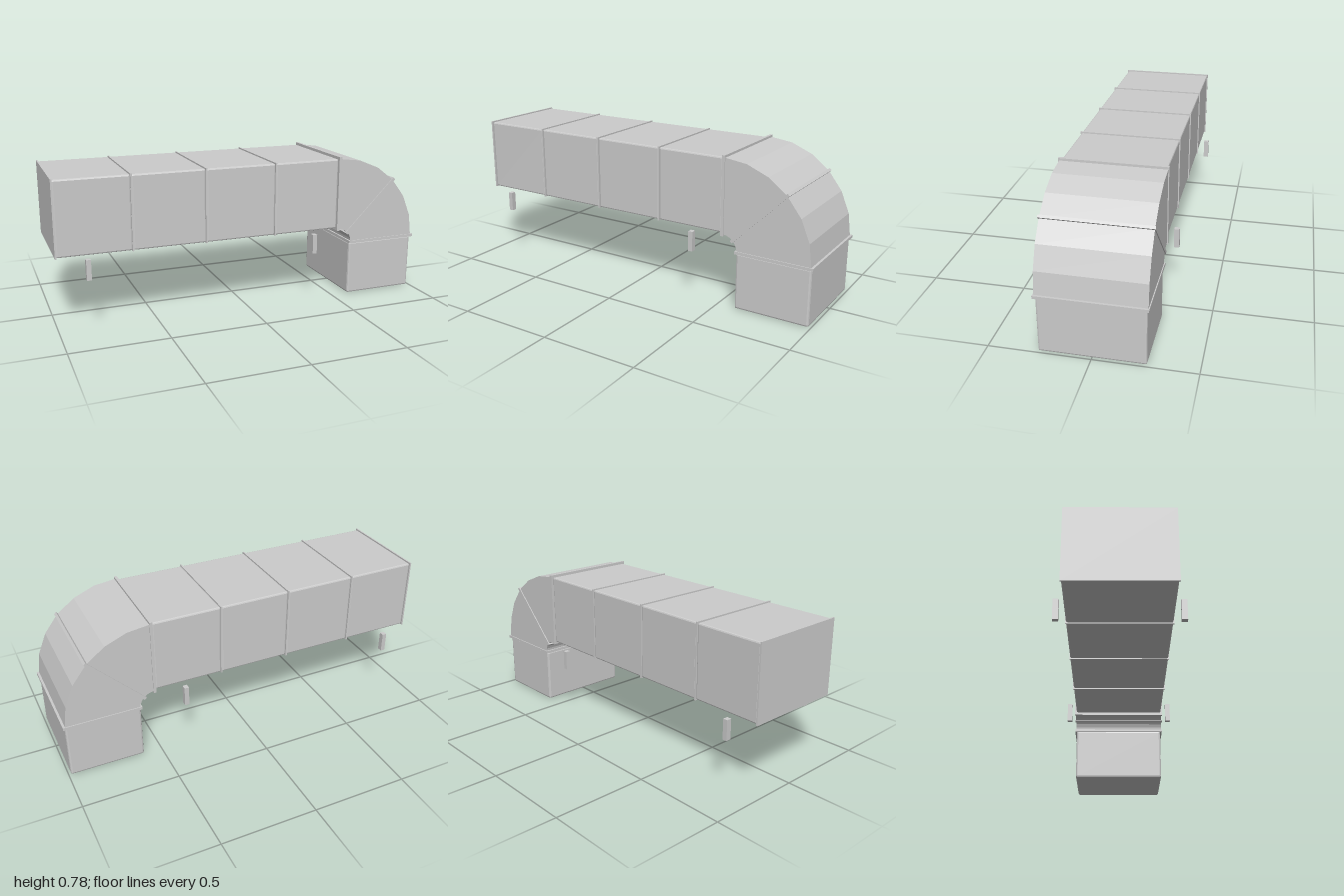
import * as THREE from 'three';
import { RoundedBoxGeometry } from 'three/addons/geometries/RoundedBoxGeometry.js';

export function createModel() {
  const model = new THREE.Group();
  const metal = new THREE.MeshStandardMaterial({ color: 0xcccccc, flatShading: true });

  const add = (name, geometry, x, y, z = 0, parent = model) => {
    const mesh = new THREE.Mesh(geometry, metal);
    mesh.name = name;
    mesh.position.set(x, y, z);
    parent.add(mesh);
    return mesh;
  };

  // Straight run: four bevelled duct sections with thin flanges at the joints
  const joints = [-0.995, -0.616, -0.233, 0.148, 0.515];
  for (let i = 0; i < 4; i++) {
    const a = joints[i], b = joints[i + 1];
    add('ductSection', new RoundedBoxGeometry(b - a - 0.004, 0.382, 0.514, 1, 0.008), (a + b) / 2, 0.576);
    add('jointFlange', new THREE.BoxGeometry(0.008, 0.39, 0.524), a, 0.577);
  }

  // Elbow: quarter ring with six facets, bent downwards
  const cx = 0.52, cy = 0.30, inner = 0.082, outer = 0.468, steps = 6;
  const profile = [];
  const arc = (r, i) => {
    const t = (i / steps) * Math.PI / 2;
    return new THREE.Vector2(r * Math.cos(t), r * Math.sin(t));
  };
  for (let i = 0; i <= steps; i++) profile.push(arc(outer, i));
  for (let i = steps; i >= 0; i--) profile.push(arc(inner, i));
  const elbow = new THREE.ExtrudeGeometry(new THREE.Shape(profile), { depth: 0.526, bevelEnabled: false });
  elbow.translate(0, 0, -0.263);
  add('elbow', elbow, cx, cy);

  // Elbow flanges at the start, middle and end of the bend
  const flangeInner = 0.072, flangeOuter = 0.479;
  for (const angle of [0, Math.PI / 4, Math.PI / 2]) {
    const r = (flangeInner + flangeOuter) / 2;
    const flange = add('elbowFlange', new THREE.BoxGeometry(flangeOuter - flangeInner, 0.015, 0.536),
      cx + r * Math.cos(angle), cy + r * Math.sin(angle));
    flange.rotation.z = angle;
  }

  // Downward outlet
  add('outlet', new RoundedBoxGeometry(0.392, 0.296, 0.516, 1, 0.01), 0.792, 0.148);

  // Two pairs of short posts beside the straight run
  for (const x of [-0.847, 0.363]) {
    for (const side of [-1, 1]) {
      add('supportPost', new THREE.BoxGeometry(0.024, 0.104, 0.027), x, 0.323, side * 0.288);
    }
  }

  return model;
}
